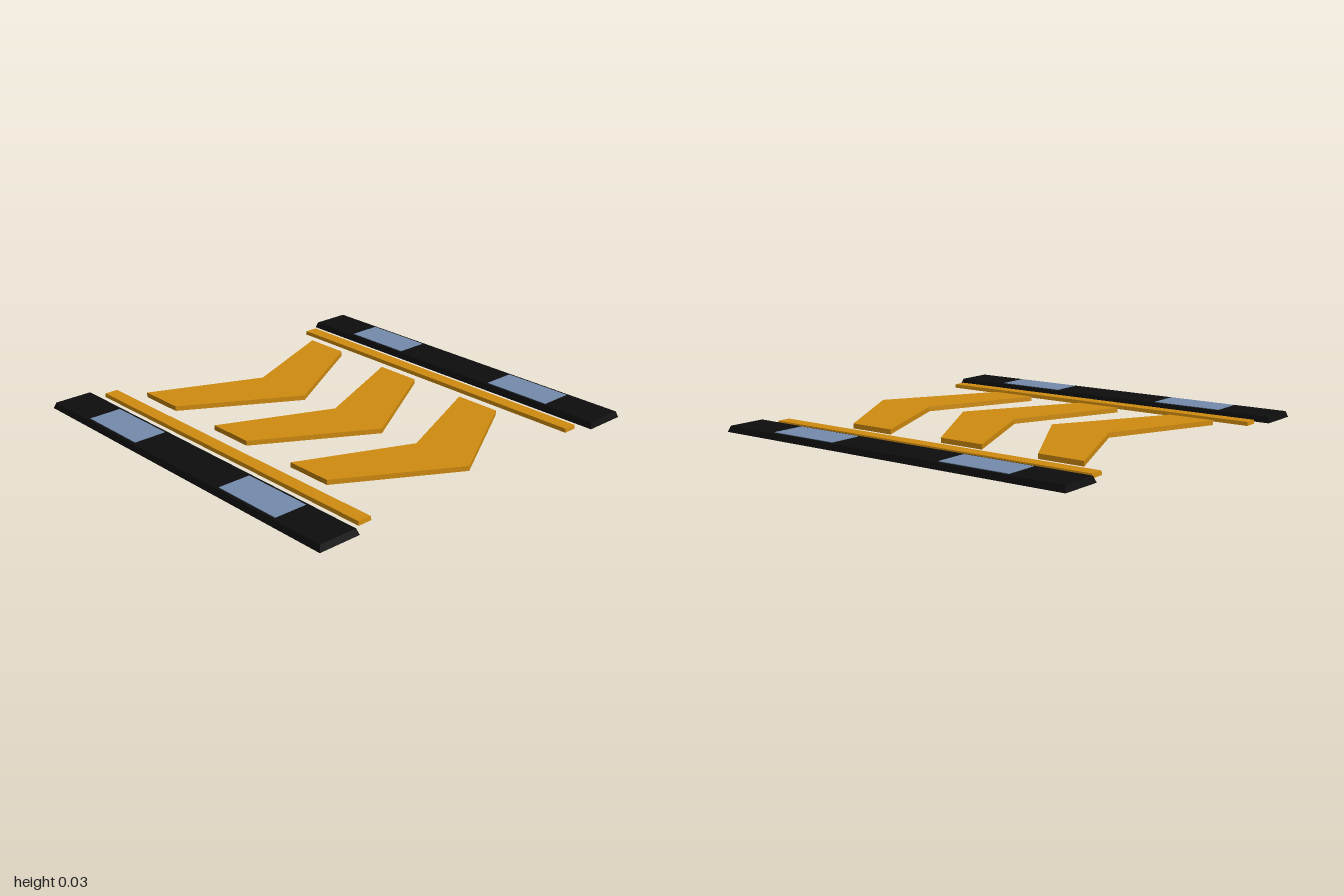
import * as THREE from 'three';

const amber = new THREE.MeshStandardMaterial({ color: 0xd08c0f });
amber.name = 'amber';
const black = new THREE.MeshStandardMaterial({ color: 0x0d0d0d });
black.name = 'black';
const steelBlue = new THREE.MeshStandardMaterial({ color: 0x748cac });
steelBlue.name = 'steelBlue';

// Box standing on y = 0 whose top face is drawn in by `inset`
function slab(width, height, depth, inset = 0) {
  const geometry = new THREE.BoxGeometry(width, height, depth).translate(0, height / 2, 0);
  const p = geometry.attributes.position;
  for (let i = 0; i < p.count; i++) {
    if (p.getY(i) < height / 2) continue;
    p.setX(i, p.getX(i) - Math.sign(p.getX(i)) * inset);
    p.setZ(i, p.getZ(i) - Math.sign(p.getZ(i)) * inset);
  }
  geometry.computeVertexNormals();
  return geometry;
}

// V-shaped arrow plate pointing to +z, drawn as (x, -z) and laid flat
function chevronGeometry() {
  const outline = [[-0.57, 0.235], [-0.57, -0.01], [0, -0.343], [0.57, -0.01], [0.57, 0.235], [0, -0.01]];
  const shape = new THREE.Shape(outline.map(([x, y]) => new THREE.Vector2(x, y)));
  return new THREE.ExtrudeGeometry(shape, { depth: 0.025, bevelEnabled: false }).rotateX(-Math.PI / 2);
}

export function createModel() {
  const model = new THREE.Group();
  model.name = 'boostPad';

  function add(name, geometry, material, x, y, z) {
    const mesh = new THREE.Mesh(geometry, material);
    mesh.name = name;
    mesh.position.set(x, y, z);
    model.add(mesh);
  }

  // Three arrows down the middle
  const chevron = chevronGeometry();
  [-0.562, 0, 0.562].forEach((z, i) => add(`chevron${i + 1}`, chevron, amber, 0, 0, z));

  // Rails, light panels and strips on both sides
  const rail = slab(0.222, 0.03, 2, 0.011);
  const panel = slab(0.172, 0.005, 0.378);
  const strip = slab(0.074, 0.02, 1.885, 0.002);
  for (const [side, s] of [['left', 1], ['right', -1]]) {
    add(`${side}Rail`, rail, black, s * 0.889, 0, 0);
    add(`${side}Strip`, strip, amber, s * 0.691, 0, -0.002);
    add(`${side}FrontPanel`, panel, steelBlue, s * 0.889, 0.028, 0.505);
    add(`${side}BackPanel`, panel, steelBlue, s * 0.889, 0.028, -0.51);
  }

  return model;
}
